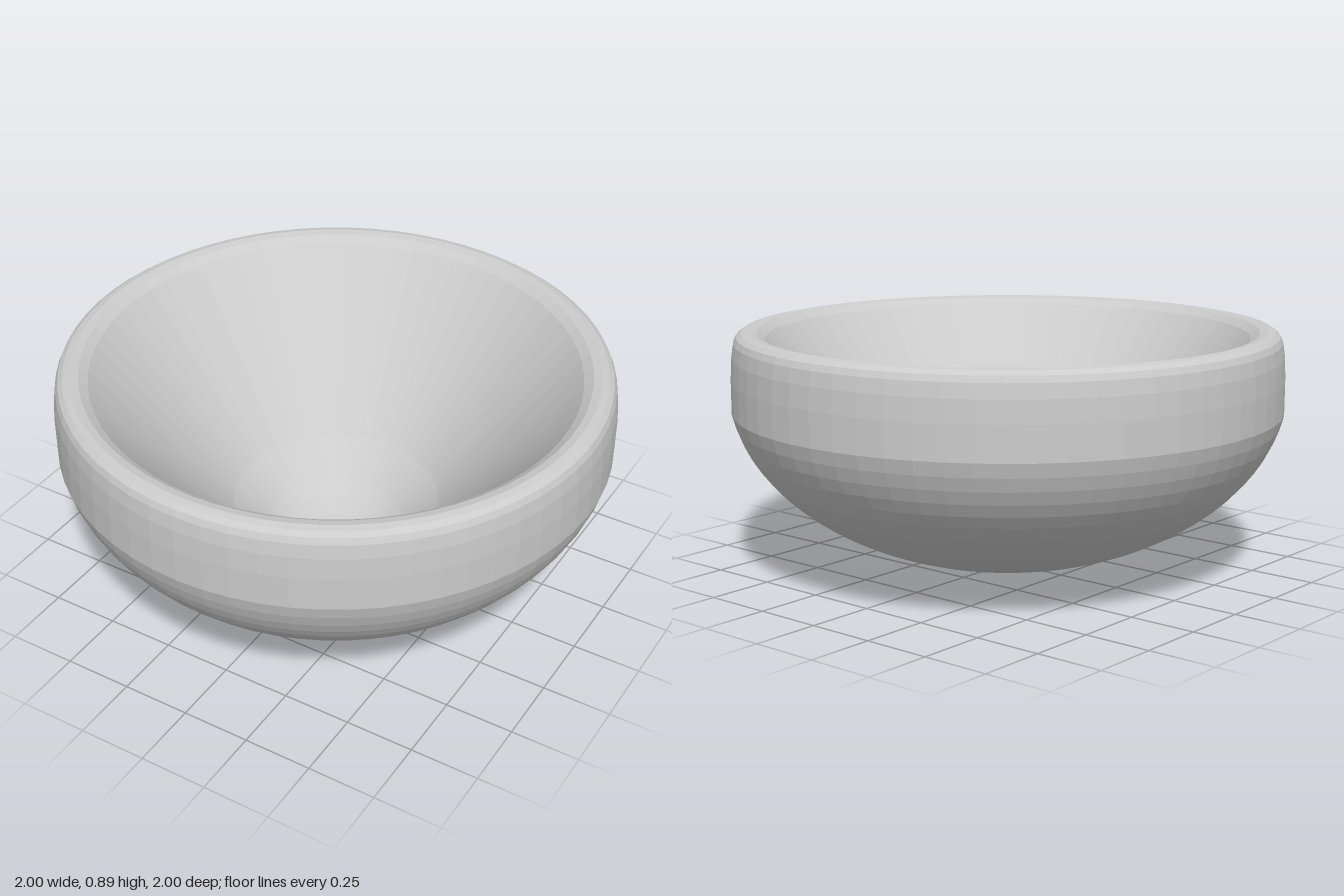
import * as THREE from 'three';

export function createModel() {
  const group = new THREE.Group();
  const material = new THREE.MeshStandardMaterial({ color: 0xcccccc, flatShading: true });
  const profile = [];
  const add = (x, y) => profile.push(new THREE.Vector2(x, y));

  // small nub under the base
  add(0, 0);
  add(0.02, 0.008);
  add(0.045, 0.018);

  // rounded underside: elliptical arc up to the upright band
  const steps = 18, end = 1.42;
  for (let i = 1; i <= steps; i++) {
    const a = 0.06 + (end - 0.06) * i / steps;
    add(Math.sin(a) / Math.sin(end), 0.7 - 0.68 * Math.cos(a));
  }

  // upright band, softly rounded lip and inner bevel
  [[1, 0.72], [0.996, 0.8], [0.988, 0.85], [0.978, 0.872], [0.96, 0.885],
    [0.935, 0.89], [0.905, 0.884], [0.873, 0.862]].forEach(p => add(...p));

  // funnel-shaped inside, easing into a shallow rounded bottom
  [[0.38, 0.285], [0.25, 0.165], [0.2, 0.13], [0.12, 0.1], [0.04, 0.085], [0, 0.083]]
    .forEach(p => add(...p));

  const bowl = new THREE.Mesh(new THREE.LatheGeometry(profile, 64), material);
  bowl.name = 'bowl';
  group.add(bowl);
  return group;
}
